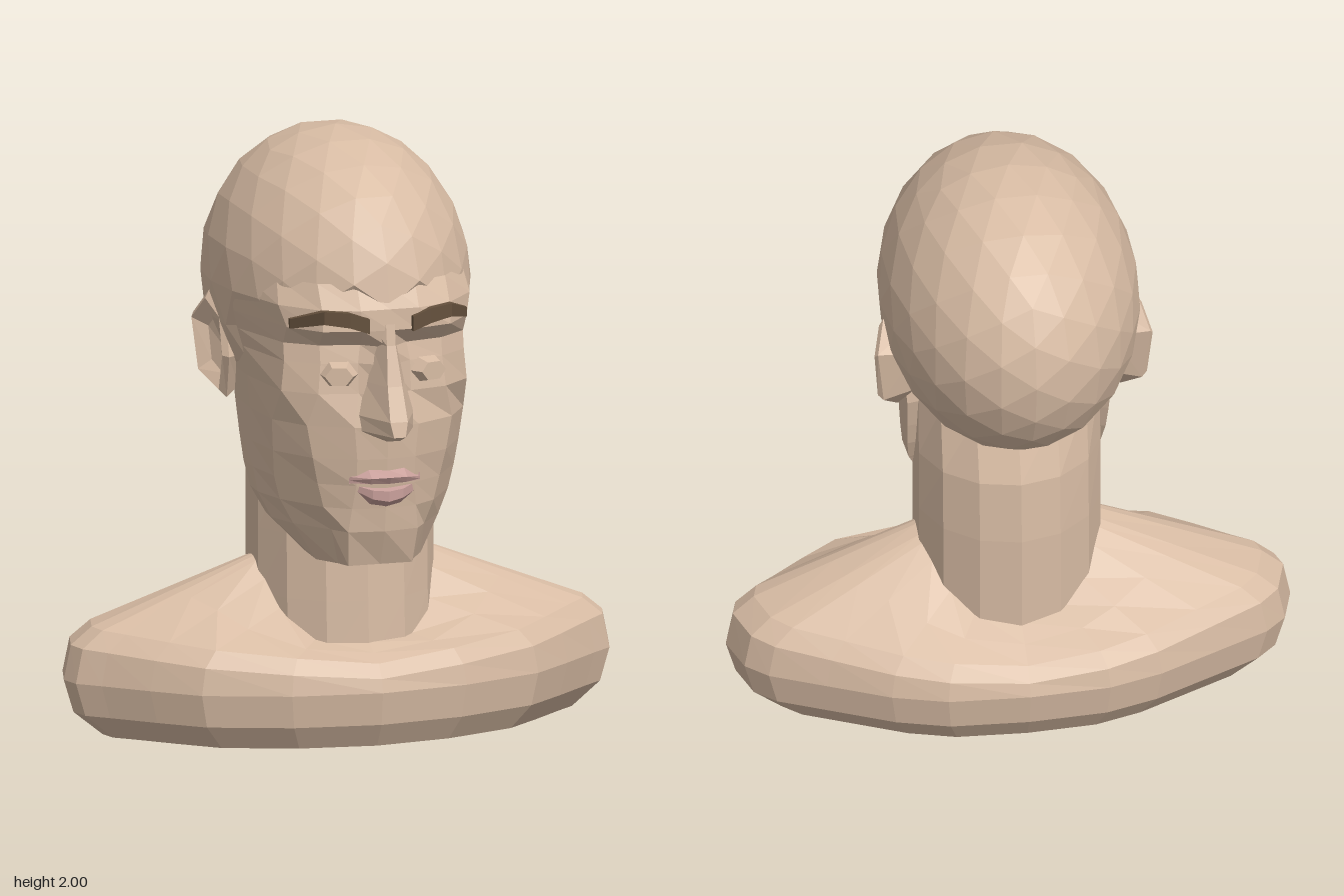
import * as THREE from 'three';

const flat = (color, name) => {
  const m = new THREE.MeshStandardMaterial({ color, flatShading: true, side: THREE.DoubleSide });
  m.name = name;
  return m;
};

// Skin a grid of points: rows run downwards, columns run left to right as seen from outside.
function grid(rows) {
  const w = rows[0].length, index = [];
  for (let i = 0; i < rows.length - 1; i++)
    for (let j = 0; j < w - 1; j++) {
      const a = i * w + j, c = a + w;
      index.push(a, c, c + 1, a, c + 1, a + 1);
    }
  const g = new THREE.BufferGeometry();
  g.setAttribute('position', new THREE.Float32BufferAttribute(rows.flat(2), 3));
  g.setIndex(index);
  return facet(g);
}

function facet(g) {
  const out = g.index ? g.toNonIndexed() : g;
  out.computeVertexNormals();
  return out;
}

// Move every vertex by a rule.
function warp(g, rule) {
  const p = g.attributes.position;
  for (let i = 0; i < p.count; i++) p.setXYZ(i, ...rule(p.getX(i), p.getY(i), p.getZ(i)));
  return facet(g);
}

// Mirror across x and restore the corner order.
function mirror(g) {
  const m = g.clone(), p = m.attributes.position, q = g.attributes.position;
  for (let i = 0; i < p.count; i++) {
    const k = i - (i % 3) + (2 - (i % 3));
    p.setXYZ(i, -q.getX(k), q.getY(k), q.getZ(k));
  }
  return facet(m);
}

const mirrorRow = half => [...half.slice(1).reverse().map(([x, y, z]) => [-x, y, z]), ...half];
const lerp = THREE.MathUtils.lerp;

function cranium() {
  return warp(new THREE.IcosahedronGeometry(1, 3), (x, y, z) => {
    const Y = 1.5 + y * 0.5;
    let Z = -0.06 + z * 0.59;
    if (Y < 1.42 && Z > 0.2) Z -= 0.09; // room for the eye sockets
    return [x * 0.43, Y, Z];
  });
}

function face() {
  // y, centre z, then x and z of inner, middle, cheek and side points, then z of the back edge
  const sections = [
    [1.58, 0.50, 0.10, 0.49, 0.22, 0.44, 0.32, 0.31, 0.40, 0.08, -0.08],
    [1.50, 0.535, 0.10, 0.535, 0.22, 0.49, 0.33, 0.36, 0.41, 0.10, -0.08],
    [1.43, 0.54, 0.09, 0.535, 0.22, 0.50, 0.31, 0.39, 0.40, 0.10, -0.08],
    [1.37, 0.53, 0.08, 0.46, 0.21, 0.43, 0.31, 0.35, 0.385, 0.10, -0.08],
    [1.31, 0.53, 0.09, 0.47, 0.21, 0.44, 0.31, 0.36, 0.37, 0.10, -0.08],
    [1.21, 0.52, 0.09, 0.48, 0.22, 0.45, 0.32, 0.36, 0.355, 0.10, -0.08],
    [1.10, 0.52, 0.11, 0.50, 0.25, 0.42, 0.33, 0.29, 0.345, 0.10, -0.08],
    [0.99, 0.51, 0.10, 0.495, 0.23, 0.42, 0.32, 0.27, 0.34, 0.10, -0.05],
    [0.90, 0.50, 0.10, 0.485, 0.21, 0.41, 0.31, 0.25, 0.335, 0.10, -0.02],
    [0.82, 0.49, 0.11, 0.47, 0.19, 0.41, 0.29, 0.25, 0.325, 0.12, 0.02],
    [0.74, 0.48, 0.12, 0.46, 0.16, 0.40, 0.25, 0.27, 0.29, 0.16, 0.07],
    [0.62, 0.43, 0.11, 0.43, 0.13, 0.38, 0.18, 0.30, 0.20, 0.24, 0.20],
  ];
  const rows = sections.map(([y, z0, ...s], i) => {
    const half = [[0, z0]];
    for (let k = 0; k < 8; k += 2) half.push([s[k], s[k + 1]]);
    half.push([s[6] - 0.005, s[8]], [s[6] * 0.7, s[8] + 0.02]);
    const lift = z => (i === sections.length - 1 ? Math.max(0, 0.3 - z) * 0.3 : 0);
    return mirrorRow(half.map(([x, z]) => [x, y + lift(z), z]));
  });
  rows.push(rows[rows.length - 1].map(([, y, z]) => [0, y, z])); // under the chin
  return grid(rows);
}

function nose() {
  // y, ridge z, ridge half width, base half width, base z
  return grid([
    [1.45, 0.54, 0.015, 0.06, 0.50],
    [1.38, 0.55, 0.015, 0.045, 0.46],
    [1.25, 0.59, 0.025, 0.07, 0.47],
    [1.14, 0.635, 0.03, 0.10, 0.48],
    [1.09, 0.645, 0.02, 0.10, 0.48],
    [1.07, 0.60, 0.015, 0.06, 0.48],
    [1.05, 0.51, 0.005, 0.02, 0.48],
  ].map(([y, zr, r, w, zb]) => [[-w, y, zb], [-r, y, zr], [r, y, zr], [w, y, zb]]));
}

// A lip is a profile of [y, z] swept across the mouth, closing at the corners.
function lip(profile, width, dip) {
  return grid(profile.map(([y, z], i) => [-1, -0.5, 0, 0.5, 1].map(t => {
    const k = t * t;
    const notch = i === 0 && t === 0 ? dip : 0;
    return [t * width, lerp(y, 0.908, k * 0.6) - notch, lerp(z, 0.475, k)];
  })));
}

function brow() {
  // x, y, z, half height
  const path = [[0.075, 1.45, 0.55, 0], [0.075, 1.45, 0.55, 0.025], [0.14, 1.472, 0.54, 0.025],
    [0.22, 1.48, 0.512, 0.022], [0.305, 1.445, 0.405, 0.016], [0.305, 1.445, 0.405, 0]];
  const corners = [[1, -0.04], [1, 0.006], [-1, 0.006], [-1, -0.04], [1, -0.04]];
  return grid(corners.map(([s, d]) => path.map(([x, y, z, h]) => [x, y + s * h, z + (h ? d : 0)])));
}

function eye() {
  const g = new THREE.CylinderGeometry(0.55, 1, 1, 6);
  g.rotateY(Math.PI / 6).rotateX(Math.PI / 2).scale(0.085, 0.062, 0.1);
  g.rotateY(0.28).translate(0.15, 1.275, 0.45);
  return facet(g);
}

function ear() {
  const outline = [[-0.18, 1.37], [-0.1, 1.46], [-0.02, 1.4], [0, 1.25], [-0.07, 1.1], [-0.15, 1.17], [-0.18, 1.37]];
  const ring = (s, inset, fixedX) => outline.map(([z, y]) => {
    const Z = lerp(-0.09, z, s), Y = lerp(1.28, y, s);
    return [fixedX ?? 0.4 - Z * 0.38 - Math.max(0, 1.2 - Y) * 0.4 - inset, Y, Z];
  });
  return grid([ring(0, 0.05), ring(0.55, 0.04), ring(0.85, 0), ring(1, 0.015), ring(0.8, 0, 0.33)]);
}

function neck() {
  const g = new THREE.CylinderGeometry(1, 1, 1, 14, 4, true);
  return warp(g, (x, y, z) => {
    const t = y + 0.5;
    const back = t > 0.7 ? lerp(0.325, 0.24, (t - 0.7) / 0.3) : 0.325;
    return [x * 0.31, lerp(0.25, 1.12, t), -0.015 + z * (z < 0 ? back : lerp(0.325, 0.28, t))];
  });
}

function bust() {
  const half = [[0, 0.46], [0.3, 0.42], [0.58, 0.32], [0.72, 0.2], [0.85, 0.08], [0.92, 0.02], [0.94, -0.05],
    [0.9, -0.19], [0.83, -0.26], [0.65, -0.35], [0.45, -0.45], [0.27, -0.505], [0, -0.52]];
  const outline = [...half, ...half.slice(0, -1).reverse().map(([x, z]) => [-x, z])];
  const rim = x => 0.28 + 0.085 * Math.abs(x) / 0.94;
  const scaled = (s, height) => outline.map(([x, z]) => [x * s, height(x), z * s]);
  // collar rises into the trapezius at both sides
  const collar = outline.map(([x, z]) => {
    const r = Math.hypot(x, z + 0.03), nx = x / r, nz = (z + 0.03) / r;
    const y = (nz > 0 ? 0.33 : 0.36) + (nz > 0 ? 0.25 : 0.22) * Math.abs(nx) ** (nz > 0 ? 6 : 3);
    return [nx * 0.3, y, -0.015 + nz * 0.315];
  });
  const top = scaled(0.9, rim);
  const middle = collar.map((p, i) => p.map((v, k) => (v + top[i][k]) / 2));
  return grid([collar, middle, top, scaled(0.975, x => rim(x) * 0.84), scaled(1, () => 0.19),
    scaled(0.965, () => 0.08), scaled(0.86, () => 0), scaled(0, () => 0)]);
}

export function createModel() {
  const skin = flat(0xd8bca4, 'skin');
  const lipPink = flat(0xc9a09b, 'lip pink');
  const browBrown = flat(0x65513d, 'brow brown');
  const model = new THREE.Group();
  model.name = 'bust';
  const add = (name, geometry, material) => {
    const mesh = new THREE.Mesh(geometry, material);
    mesh.name = name;
    model.add(mesh);
  };
  const pair = (name, geometry, material) => {
    add('left' + name, geometry, material);
    add('right' + name, mirror(geometry), material);
  };

  add('shoulders', bust(), skin);
  add('neck', neck(), skin);
  add('cranium', cranium(), skin);
  add('face', face(), skin);
  add('nose', nose(), skin);
  pair('Eye', eye(), skin);
  pair('Ear', ear(), skin);
  pair('Brow', brow(), browBrown);
  add('upperLip', lip([[0.965, 0.5], [0.935, 0.55], [0.912, 0.535], [0.905, 0.48]], 0.122, 0.012), lipPink);
  add('lowerLip', lip([[0.893, 0.48], [0.885, 0.53], [0.85, 0.53], [0.82, 0.48]], 0.105, 0), lipPink);
  return model;
}
